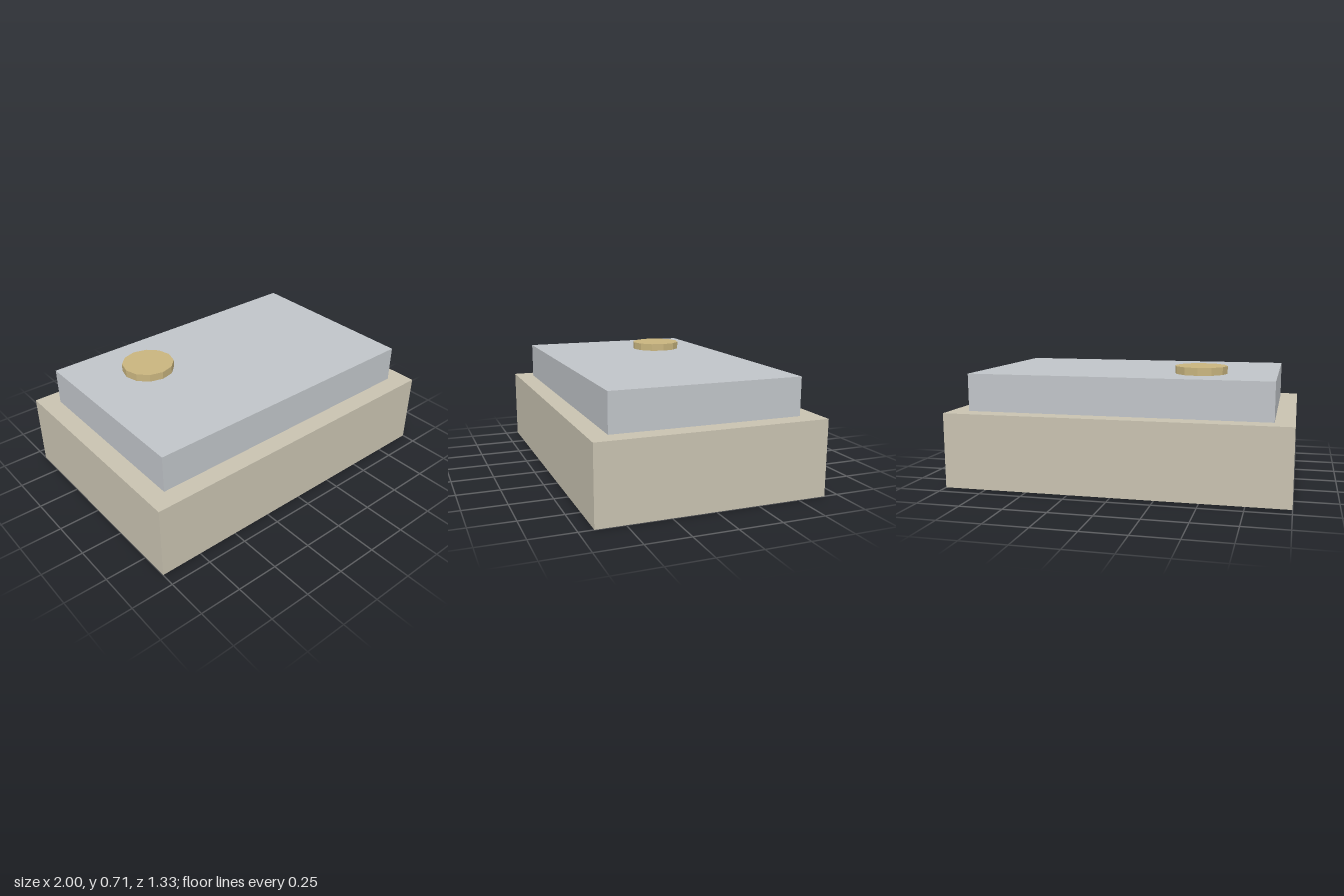
import * as THREE from 'three';

export function createModel() {
  const model = new THREE.Group();
  model.name = 'steppedBox';

  const material = (name, color) => {
    const m = new THREE.MeshStandardMaterial({ color, flatShading: true });
    m.name = name;
    return m;
  };
  const stone = material('warm stone', 0xc8c2b0);
  const grey = material('cool grey', 0xc0c4c8);
  const brass = material('brass', 0xc8b47e);

  const add = (name, geometry, mat, x, y, z) => {
    const mesh = new THREE.Mesh(geometry, mat);
    mesh.name = name;
    mesh.position.set(x, y, z);
    model.add(mesh);
  };

  // Wide base block
  add('base', new THREE.BoxGeometry(2, 0.444, 1.333), stone, 0, 0.222, 0);
  // Smaller slab resting on the base
  add('upperSlab', new THREE.BoxGeometry(1.778, 0.222, 1.111), grey, 0, 0.555, 0);
  // Twelve-sided disc on the slab, towards the back right
  add('disc', new THREE.CylinderGeometry(0.1555, 0.1555, 0.045, 12), brass, -0.444, 0.6885, -0.222);

  return model;
}
